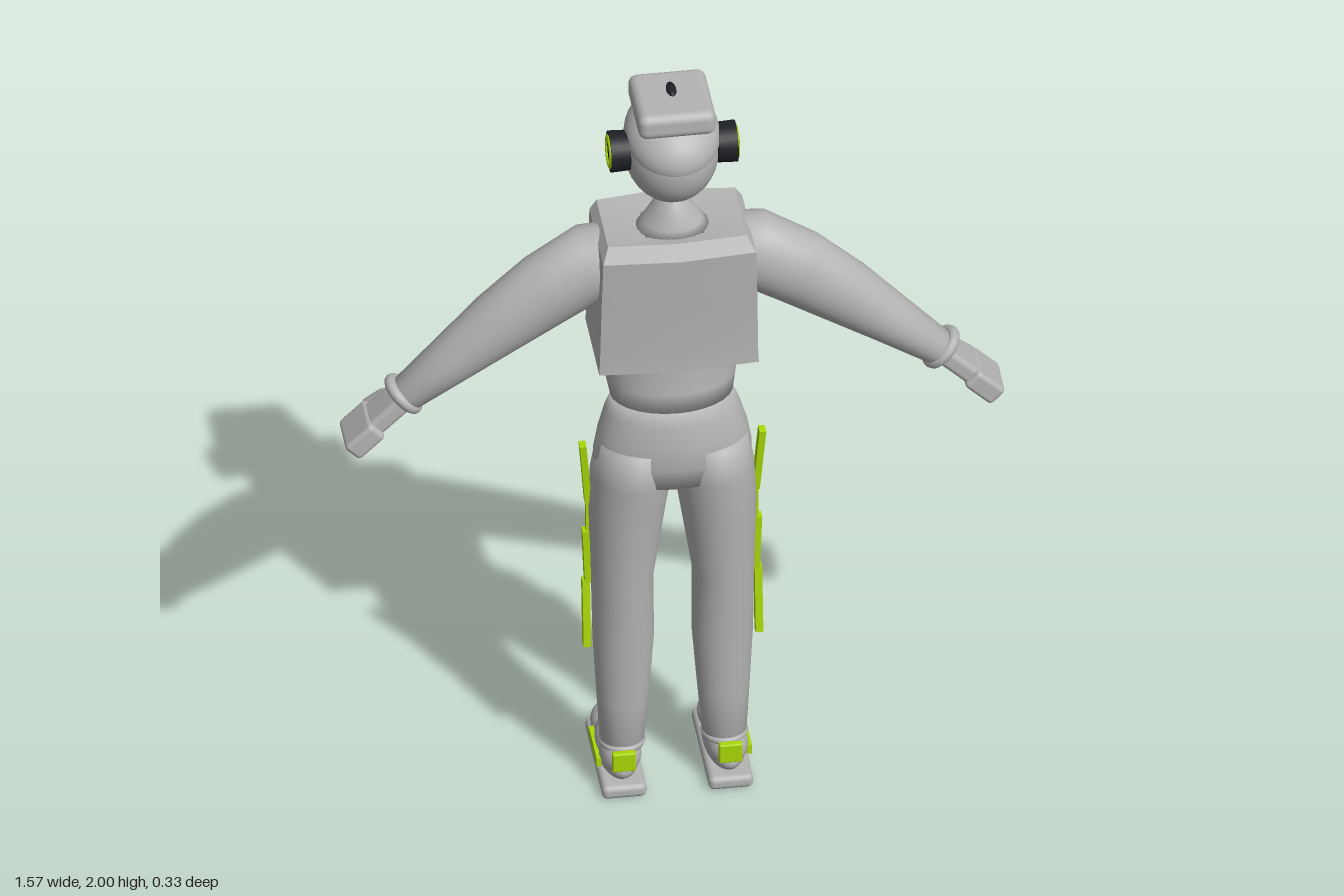
import * as THREE from 'three';
import { toCreasedNormals } from 'three/addons/utils/BufferGeometryUtils.js';
import { RoundedBoxGeometry } from 'three/addons/geometries/RoundedBoxGeometry.js';

const cloth = new THREE.MeshStandardMaterial({ color: 0xb4b4b4, side: THREE.DoubleSide });
cloth.name = 'light grey';
const lime = new THREE.MeshStandardMaterial({ color: 0xaad808 });
lime.name = 'lime';
const dark = new THREE.MeshStandardMaterial({ color: 0x1e2126 });
dark.name = 'near black';

const circle = Array.from({ length: 28 }, (_, i) => {
  const a = (i / 28) * Math.PI * 2;
  return [Math.cos(a), Math.sin(a)];
});

// Sections, bottom to top: [x, y, z, radius across, radius in z, tilt]
function loft(sections, profile = circle, capped = true) {
  const pos = [], idx = [], n = profile.length, m = sections.length;
  for (const [x, y, z, ra, rz, t = 0] of sections)
    for (const [u, v] of profile)
      pos.push(x + Math.cos(t) * u * ra, y + Math.sin(t) * u * ra, z + v * rz);
  for (let j = 0; j < m - 1; j++)
    for (let i = 0; i < n; i++) {
      const a = j * n + i, b = j * n + (i + 1) % n;
      idx.push(a, a + n, b, b, a + n, b + n);
    }
  if (capped) {
    pos.push(...sections[0].slice(0, 3), ...sections[m - 1].slice(0, 3));
    for (let i = 0; i < n; i++) {
      const k = (i + 1) % n, top = (m - 1) * n;
      idx.push(m * n, i, k, m * n + 1, top + k, top + i);
    }
  }
  const g = new THREE.BufferGeometry();
  g.setAttribute('position', new THREE.Float32BufferAttribute(pos, 3));
  g.setIndex(idx);
  g.computeVertexNormals();
  return g;
}

function add(parent, name, geo, mat, p = [0, 0, 0], r = [0, 0, 0], s = [1, 1, 1]) {
  const mesh = new THREE.Mesh(geo, mat);
  mesh.name = name;
  mesh.position.set(...p);
  mesh.rotation.set(...r);
  mesh.scale.set(...s);
  parent.add(mesh);
  return mesh;
}

const box = (x, y, z, r) => r ? new RoundedBoxGeometry(x, y, z, 3, r) : new THREE.BoxGeometry(x, y, z);
const ball = new THREE.SphereGeometry(1, 32, 20);

function buildHead() {
  const g = new THREE.Group();
  g.name = 'head';
  add(g, 'skull', ball, cloth, [0, 1.82, 0.02], [0, 0, 0], [0.112, 0.13, 0.118]);
  add(g, 'muzzle', ball, cloth, [0, 1.735, -0.045], [0, 0, 0], [0.068, 0.05, 0.056]);
  add(g, 'nose', ball, cloth, [0, 1.81, -0.103], [0, 0, 0], [0.015, 0.026, 0.016]);
  add(g, 'hair', new THREE.SphereGeometry(1, 32, 12, 0, Math.PI * 2, 0, Math.PI / 2), cloth,
    [0, 1.87, 0.025], [0.28, 0, 0], [0.114, 0.085, 0.13]);
  add(g, 'capTop', box(0.185, 0.066, 0.2, 0.022), cloth, [0, 1.957, 0.027], [-0.02, 0, 0]);
  add(g, 'capButton', ball, dark, [0, 1.99, 0.013], [0, 0, 0], [0.012, 0.01, 0.028]);
  add(g, 'forelock', new THREE.CapsuleGeometry(0.014, 0.07, 4, 10), dark,
    [0, 1.89, -0.091], [0.25, 0, 0], [1, 1, 0.8]);
  return g;
}

// Parts on the +x side, mirrored for the other
function buildSide() {
  const g = new THREE.Group();
  g.name = 'side';

  // Face and headphone
  add(g, 'eye', ball, dark, [0.045, 1.84, -0.089], [0, 0, 0], [0.012, 0.008, 0.006]);
  add(g, 'brow', box(0.04, 0.009, 0.009), dark, [0.046, 1.866, -0.083], [0, 0.35, 0.2]);
  const q = [0, 0, Math.PI / 2], ry = [0, Math.PI / 2, 0];
  add(g, 'earCup', new THREE.CylinderGeometry(0.048, 0.05, 0.046, 28), dark, [0.128, 1.84, 0.035], q);
  add(g, 'earRing', new THREE.TorusGeometry(0.036, 0.006, 8, 32), lime, [0.15, 1.84, 0.035], ry);

  // Sleeve, from wrist to shoulder
  add(g, 'sleeve', loft([
    [0.63, 1.18, 0.03, 0.044, 0.048, 0.8],
    [0.52, 1.275, 0.033, 0.062, 0.062, 0.82],
    [0.412, 1.367, 0.035, 0.082, 0.07, 0.88],
    [0.3, 1.452, 0.033, 0.096, 0.075, 0.98],
    [0.2, 1.51, 0.025, 0.1, 0.086, 1.3],
    [0.1, 1.51, 0.02, 0.1, 0.09, 1.57],
  ]), cloth);

  // Glove
  const hand = new THREE.Group();
  hand.name = 'glove';
  hand.position.set(0.64, 1.175, 0.027);
  hand.rotation.z = 0.8;
  g.add(hand);
  add(hand, 'cuff', new THREE.TorusGeometry(0.044, 0.014, 10, 28), cloth, [0, 0, 0], [Math.PI / 2, 0, 0]);
  add(hand, 'palm', box(0.046, 0.11, 0.09, 0.014), cloth, [0, -0.055, 0]);
  add(hand, 'fingers', box(0.054, 0.09, 0.116, 0.012), cloth, [0, -0.137, 0]);
  add(hand, 'thumb', new THREE.CapsuleGeometry(0.016, 0.05, 4, 10), cloth, [0.006, -0.075, -0.05], [0.25, 0, 0]);

  // Trouser leg and stripe
  add(g, 'trouserLeg', loft([
    [0.122, 0.11, 0.044, 0.052, 0.048],
    [0.12, 0.25, 0.042, 0.062, 0.057],
    [0.118, 0.42, 0.038, 0.073, 0.067],
    [0.12, 0.6, 0.035, 0.074, 0.08],
    [0.108, 0.8, 0.028, 0.092, 0.098],
    [0.098, 0.9, 0.03, 0.097, 0.11],
    [0.09, 1.0, 0.03, 0.088, 0.11],
  ]), cloth);
  add(g, 'trouserHem', new THREE.TorusGeometry(0.046, 0.01, 8, 24), cloth, [0.122, 0.118, 0.044], [Math.PI / 2, 0, 0]);
  add(g, 'upperStripe', box(0.016, 0.175, 0.026), lime, [0.207, 0.897, 0.028], [0.06, 0, -0.08]);
  add(g, 'middleStripe', box(0.012, 0.1, 0.018), lime, [0.199, 0.765, 0.022]);
  add(g, 'kneeStripe', box(0.016, 0.15, 0.025), lime, [0.203, 0.65, 0.022], [0, 0, -0.04]);
  add(g, 'lowerStripe', box(0.018, 0.18, 0.024), lime, [0.205, 0.489, 0.031], [-0.11, 0, 0]);

  // Shoe
  add(g, 'sole', box(0.106, 0.036, 0.294, 0.014), cloth, [0.127, 0.018, -0.018]);
  add(g, 'shoeBody', ball, cloth, [0.127, 0.07, 0.0], [0.08, 0, 0], [0.052, 0.05, 0.115]);
  add(g, 'toe', ball, cloth, [0.127, 0.07, -0.092], [0, 0, 0], [0.05, 0.042, 0.065]);
  add(g, 'heel', ball, cloth, [0.127, 0.085, 0.05], [0, 0, 0], [0.05, 0.055, 0.062]);
  add(g, 'heelTab', box(0.056, 0.052, 0.018, 0.004), lime, [0.127, 0.101, 0.113]);
  add(g, 'shoeStripe', box(0.012, 0.024, 0.13), lime, [0.179, 0.067, 0]);
  return g;
}

export function createModel() {
  const model = new THREE.Group();
  model.name = 'figure';
  model.add(buildHead());

  const side = buildSide();
  const other = side.clone();
  other.scale.x = -1;
  model.add(side, other);

  // Neck, torso and hips
  add(model, 'neck', loft([
    [0, 1.6, 0.03, 0.095, 0.075], [0, 1.63, 0.03, 0.072, 0.064],
    [0, 1.665, 0.03, 0.048, 0.055], [0, 1.695, 0.03, 0.022, 0.03],
  ]), cloth);
  add(model, 'shirt', loft([
    [0, 1.11, 0.02, 0.145, 0.1], [0, 1.16, 0.004, 0.155, 0.106],
    [0, 1.24, 0, 0.163, 0.107], [0, 1.34, 0, 0.163, 0.1],
  ]), cloth);
  add(model, 'hips', loft([
    [0, 0.9, 0.03, 0.188, 0.1], [0, 0.96, 0.03, 0.189, 0.112], [0, 1.02, 0.03, 0.178, 0.114],
    [0, 1.08, 0.025, 0.16, 0.106], [0, 1.115, 0.022, 0.144, 0.1],
  ]), cloth);

  // Boxy vest with a ridge down its front and back, open at the hem
  const vestProfile = [[1, -0.82], [1, 0.9], [0, 1], [-1, 0.9], [-1, -0.82], [0, -1]];
  const vest = loft([
    [0, 1.265, 0.025, 0.19, 0.132], [0, 1.31, 0.025, 0.188, 0.13],
    [0, 1.45, 0.03, 0.186, 0.132], [0, 1.595, 0.035, 0.182, 0.132],
    [0, 1.618, 0.015, 0.165, 0.11], [0, 1.61, 0.025, 0.07, 0.06],
  ], vestProfile, false);
  add(model, 'vest', toCreasedNormals(vest, 0.4), cloth);

  // Chest fastening and tag
  add(model, 'zip', box(0.014, 0.22, 0.012), cloth, [0, 1.47, -0.108], [0.06, 0, 0]);
  add(model, 'lowerZip', box(0.014, 0.09, 0.01), cloth, [0, 1.205, -0.108]);
  add(model, 'chestTag', box(0.013, 0.055, 0.009), lime, [0.09, 1.475, -0.093], [0, -0.12, 0]);
  return model;
}
